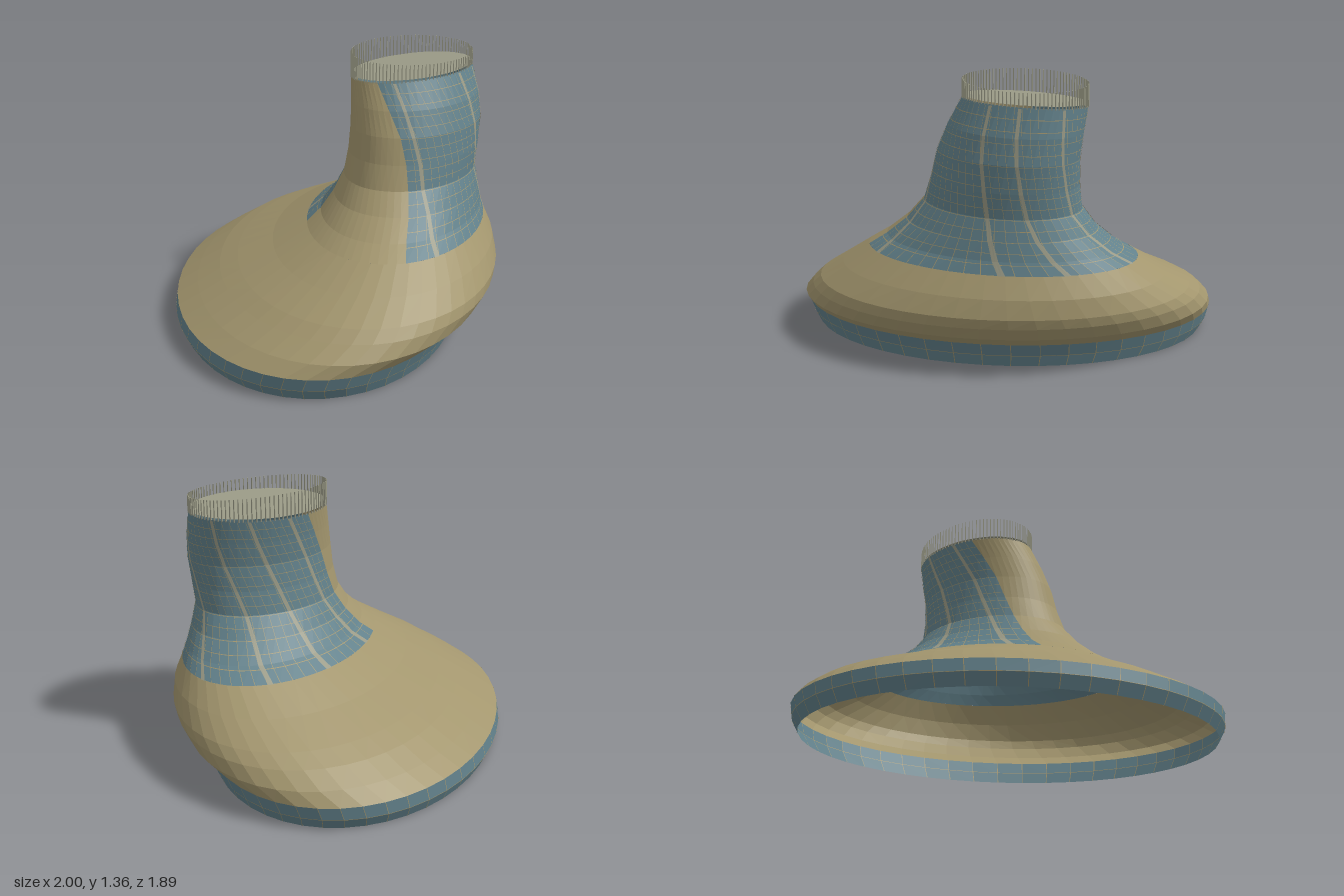
import * as THREE from 'three';
import { mergeGeometries } from 'three/addons/utils/BufferGeometryUtils.js';

// Cross-sections: height, min x, max x, min z, max z, skew of the ellipse
const SECTIONS = [
  [0, -0.97, 0.9, -0.79, 0.92, 0.32],
  [0.06, -1, 0.925, -0.815, 0.95, 0.32],
  [0.125, -1, 0.95, -0.84, 0.945, 0.32],
  [0.19, -0.93, 1, -0.91, 0.85, 0.31],
  [0.26, -0.835, 0.995, -0.94, 0.735, 0.3],
  [0.31, -0.74, 0.97, -0.945, 0.655, 0.31],
  [0.4, -0.55, 0.88, -0.92, 0.49, 0.34],
  [0.5, -0.37, 0.77, -0.865, 0.32, 0.38],
  [0.56, -0.27, 0.7, -0.825, 0.235, 0.35],
  [0.65, -0.17, 0.625, -0.775, 0.14, 0.27],
  [0.75, -0.1, 0.56, -0.74, 0.07, 0.2],
  [0.87, -0.08, 0.54, -0.75, 0.035, 0.15],
  [1, -0.07, 0.515, -0.765, 0.015, 0.12],
  [1.12, -0.085, 0.47, -0.77, -0.01, 0.1],
  [1.245, -0.105, 0.4, -0.765, -0.04, 0.08],
];
// Edges of the front strip on the neck: height, start and end angle in degrees
const EDGES = [[0.5, 17, 105], [0.75, 27, 118], [1, 40, 131], [1.245, 60, 145]];
// Twist of the neck seams: height, degrees
const TWIST = [[0.5, 0], [0.75, 17], [1, 31], [1.245, 45]];

function lookUp(table, y) {
  let i = 0;
  while (i < table.length - 2 && y > table[i + 1][0]) i++;
  const a = table[i], b = table[i + 1];
  const f = (y - a[0]) / (b[0] - a[0]);
  return a.map((v, k) => v + (b[k] - v) * f);
}

// Point on the skin at height y and angle t, pushed outward by off
function skin(y, t, off = 0) {
  const [, x0, x1, z0, z1, skew] = lookUp(SECTIONS, y);
  const x = (x0 + x1) / 2 + ((x1 - x0) / 2 + off) * Math.cos(t);
  const z = (z0 + z1) / 2 + ((z1 - z0) / 2 + off) * Math.sin(t + Math.asin(skew));
  const tilt = Math.max(0, (y - 1.1) / 0.145);
  return new THREE.Vector3(x, y + tilt * (0.04 * (x - 0.145) - 0.02 * (z + 0.405)), z);
}

// Angle rules: s runs from 0 to 1 over the region, or is in degrees for seams
const rad = THREE.MathUtils.degToRad;
const around = (y, s) => s * Math.PI * 2;
const frontStrip = (y, s) => {
  const [, a, b] = lookUp(EDGES, y);
  return rad(a + (b - a) * s);
};
const wrapPanel = (y, s) => {
  const [, a, b] = lookUp(EDGES, y);
  return rad(b + (a + 360 - b) * s);
};
const seamLine = (y, s) => rad(s + lookUp(TWIST, y)[1]);

// Surface through the section heights between yA and yB
function loft(yA, yB, angle, s0, s1, n, off = 0) {
  const ys = [yA, ...SECTIONS.map(r => r[0]).filter(y => y > yA + 1e-6 && y < yB - 1e-6), yB];
  const pos = [], index = [];
  ys.forEach((y, r) => {
    for (let i = 0; i <= n; i++) {
      pos.push(...skin(y, angle(y, s0 + (s1 - s0) * i / n), off).toArray());
      if (r < ys.length - 1 && i < n) {
        const a = r * (n + 1) + i, c = a + n + 1;
        index.push(a, c, a + 1, a + 1, c, c + 1);
      }
    }
  });
  const g = new THREE.BufferGeometry();
  g.setAttribute('position', new THREE.Float32BufferAttribute(pos, 3));
  g.setIndex(index);
  g.computeVertexNormals();
  return g;
}

export function createModel() {
  const group = new THREE.Group();
  const material = (name, color) => {
    const m = new THREE.MeshStandardMaterial({ color, flatShading: true, side: THREE.DoubleSide });
    m.name = name;
    return m;
  };
  const tan = material('tan', 0xa3966e);
  const blue = material('slate blue', 0x62818b);
  const grey = material('grey green', 0x9a9a86);
  const add = (name, geometry, mat) => {
    const mesh = new THREE.Mesh(geometry, mat);
    mesh.name = name;
    group.add(mesh);
  };

  // Main shell, open underneath
  add('soleBand', loft(0, 0.125, around, 0, 1, 48), blue);
  add('body', loft(0.125, 0.5, around, 0, 1, 48), tan);
  add('neckFrontStrip', loft(0.5, 1.245, frontStrip, 0, 1, 16), tan);
  add('neckPanel', loft(0.5, 1.245, wrapPanel, 0, 1, 40), blue);

  // Wide seams running up the neck panel
  const seams = [119, 152, 185, 227, 267, 294, 358].map(a =>
    loft(0.5, 1.24, seamLine, a - 1.5, a + 1.5, 2, 0.004));
  add('neckSeams', mergeGeometries(seams), grey);

  // Fine stitching grid on the panel and on both faces of the band
  const stitches = [];
  for (let i = 1; i < 40; i++) {
    stitches.push(loft(0.5, 1.24, wrapPanel, i / 40 - 0.0006, i / 40 + 0.0006, 1, 0.002));
  }
  for (let y = 0.545; y < 1.22; y += 0.05) {
    stitches.push(loft(y, y + 0.0025, wrapPanel, 0, 1, 40, 0.002));
  }
  for (const off of [0.002, -0.003]) {
    for (let i = 0; i < 48; i++) {
      stitches.push(loft(0, 0.125, around, i / 48 - 0.0003, i / 48 + 0.0003, 1, off));
    }
    stitches.push(loft(0.059, 0.062, around, 0, 1, 48, off));
  }
  add('stitching', mergeGeometries(stitches), tan);

  // Lid closing the neck
  const rim = [];
  for (let i = 0; i < 48; i++) rim.push(skin(1.245, around(0, i / 48)));
  const lid = new THREE.BufferGeometry().setFromPoints(
    [new THREE.Vector3(0.1475, 1.245, -0.4025), ...rim]);
  lid.setIndex(rim.flatMap((_, i) => [0, 1 + (i + 1) % 48, 1 + i]));
  lid.computeVertexNormals();
  lid.translate(0, 0.01, 0);
  add('lid', lid, grey);

  // Upright bristles round the rim
  const bristles = [];
  for (let i = 0; i < 100; i++) {
    const p = skin(1.245, around(0, i / 100));
    const top = 1.34 - 0.06 * (p.x - 0.145) + 0.03 * (p.z + 0.405);
    const h = top - p.y + 0.005;
    bristles.push(new THREE.CylinderGeometry(0.003, 0.004, h, 4)
      .translate(p.x, top - h / 2, p.z));
  }
  add('bristles', mergeGeometries(bristles), grey);

  return group;
}
